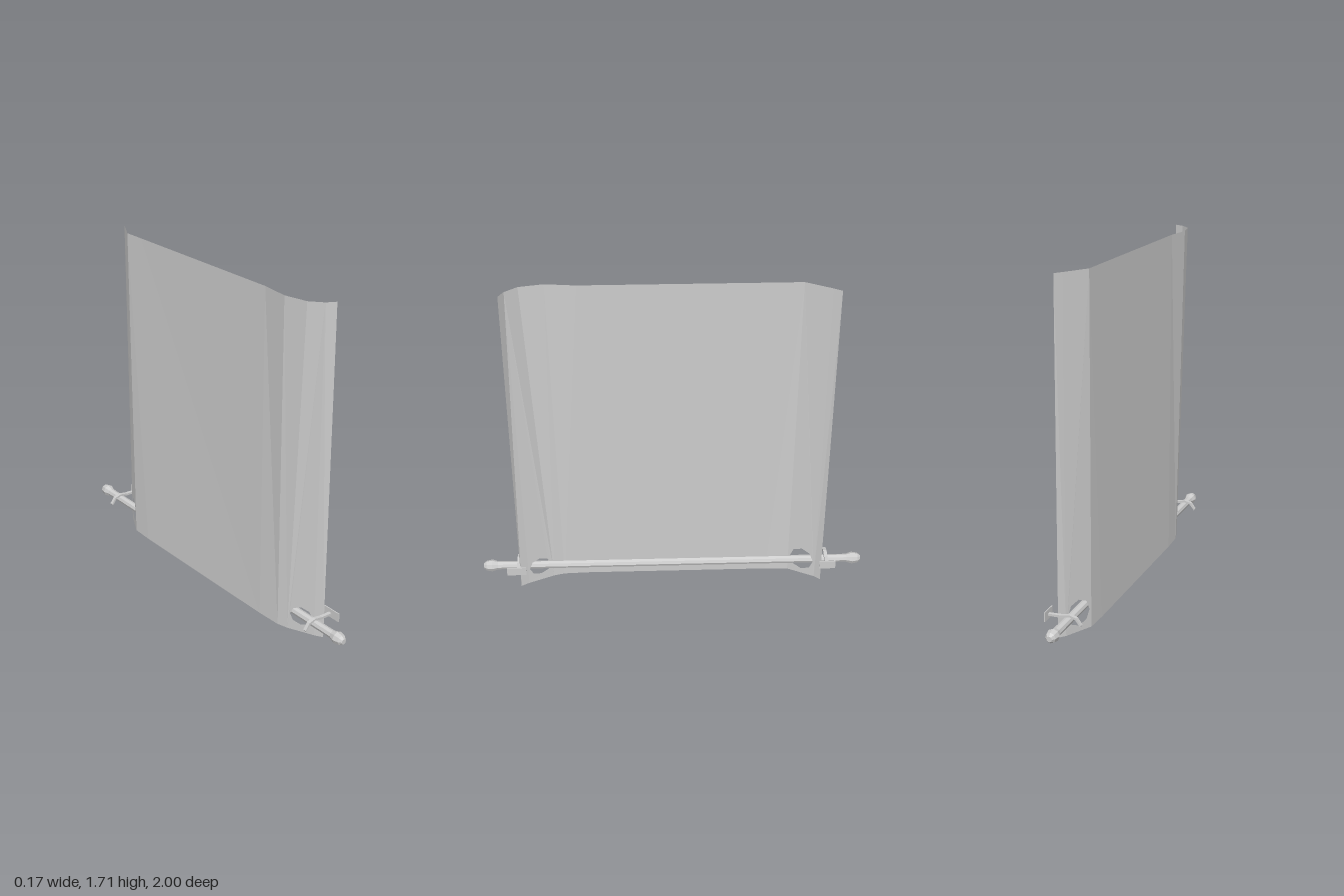
import * as THREE from 'three';

const material = new THREE.MeshStandardMaterial({ color: 0xcccccc, flatShading: true, side: THREE.DoubleSide });
const HEIGHT = 1.71, ROD_X = -0.012, ROD_Y = 0.1;

// Vertical folds of the cloth: [z, x] at the hem and [z, x] at the upper edge
const folds = [
  { low: [0.805, 0.042], high: [0.805, 0.042] },
  { low: [0.765, 0.018], high: [0.78, -0.005] },
  { low: [0.635, -0.04], high: [0.72, -0.055] },
  { low: [0.58, -0.055], high: [0.6, -0.08] },
  { low: [0.45, -0.06], high: [0.45, -0.062] },
  { low: [-0.5, -0.06], high: [-0.5, -0.06] },
  { low: [-0.62, -0.055], high: [-0.62, -0.06] },
  { low: [-0.755, 0.015], high: [-0.745, 0.01] },
  { low: [-0.785, 0.042], high: [-0.785, 0.036] },
];
// Openings for the rod, by panel index, in panel coordinates (0..1 across)
const openings = {
  1: { u: 0.5, y: 0.09, ru: 0.43, ry: 0.05 },
  6: { u: 0.5, y: 0.095, ru: 0.43, ry: 0.066 },
};

function mesh(name, geometry) {
  const m = new THREE.Mesh(geometry, material);
  m.name = name;
  return m;
}

// One panel between two folds, with an optional opening, bent onto its corners
function clothPanel(a, b, opening) {
  const shape = new THREE.Shape([[0, 0], [1, 0], [1, HEIGHT], [0, HEIGHT]].map(p => new THREE.Vector2(...p)));
  if (opening) {
    const hole = new THREE.Path();
    hole.absellipse(opening.u, opening.y, opening.ru, opening.ry, 0, Math.PI * 2, true);
    shape.holes.push(hole);
  }
  const geometry = new THREE.ShapeGeometry(shape, 4);
  const p = geometry.attributes.position;
  const { lerp } = THREE.MathUtils;
  for (let i = 0; i < p.count; i++) {
    const u = p.getX(i), y = p.getY(i), v = y / HEIGHT;
    const [z, x] = [0, 1].map(k => lerp(lerp(a.low[k], b.low[k], u), lerp(a.high[k], b.high[k], u), v));
    p.setXYZ(i, x, y, z);
  }
  geometry.computeVertexNormals();
  return geometry;
}

// Hooked arm over the rod plus its flat fixing plate
function bracket(side) {
  const group = new THREE.Group();
  group.name = side > 0 ? 'frontBracket' : 'backBracket';
  const outline = [
    [-0.085, 0.09], [-0.06, 0.122], [-0.03, 0.132], [0.01, 0.122], [0.078, 0.122],
    [0.078, 0.132], [0.015, 0.134], [-0.03, 0.142], [-0.066, 0.132], [-0.09, 0.098],
  ];
  const shape = new THREE.Shape(outline.map(p => new THREE.Vector2(...p)));
  const arm = mesh('bracketArm', new THREE.ExtrudeGeometry(shape, { depth: 0.018, bevelEnabled: false }));
  arm.position.z = side * 0.812 - 0.009;
  const plate = mesh('bracketPlate', new THREE.BoxGeometry(0.005, 0.046, side > 0 ? 0.1 : 0.085));
  plate.position.set(0.078, 0.128, side * (side > 0 ? 0.82 : 0.812));
  group.add(arm, plate);
  return group;
}

export function createModel() {
  const model = new THREE.Group();
  model.name = 'hangingCloth';

  const cloth = new THREE.Group();
  cloth.name = 'cloth';
  for (let i = 0; i < folds.length - 1; i++) {
    cloth.add(mesh('clothPanel', clothPanel(folds[i], folds[i + 1], openings[i])));
  }
  model.add(cloth);

  // Rod with a pointed knob at each end, turned as one profile
  const end = [[0.014, 1], [0.026, 0.985], [0.032, 0.955], [0.022, 0.925], [0.021, 0.9]];
  const profile = [
    [0, -1], ...end.map(([r, t]) => [r, -t]), ...end.slice().reverse(), [0, 1],
  ].map(p => new THREE.Vector2(...p));
  const rod = mesh('rod', new THREE.LatheGeometry(profile, 8));
  rod.rotation.x = Math.PI / 2;
  rod.position.set(ROD_X, ROD_Y, 0);
  model.add(rod);

  for (const side of [1, -1]) model.add(bracket(side));
  return model;
}
